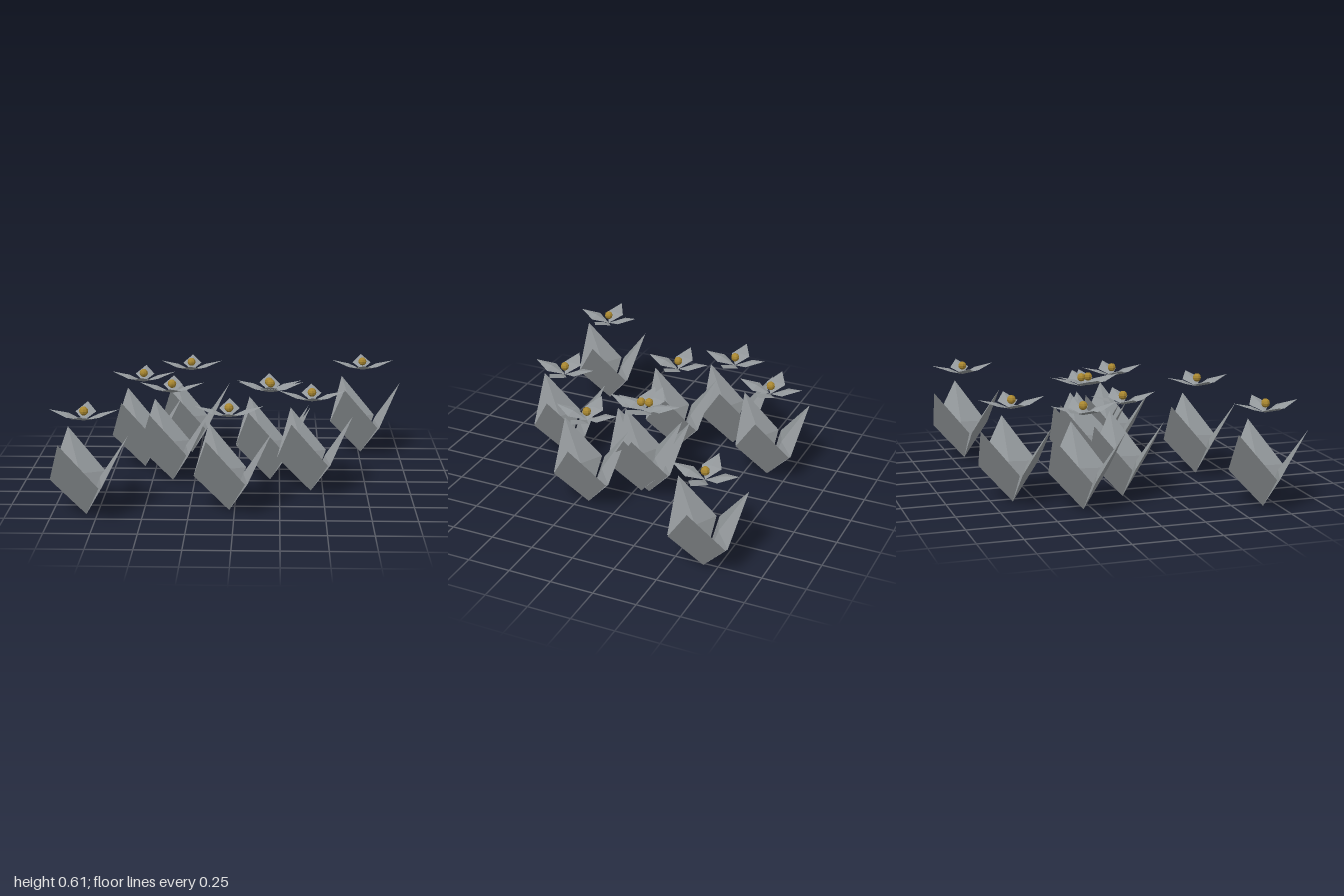
import * as THREE from 'three';

const grey = new THREE.MeshStandardMaterial({ color: 0x93989b, flatShading: true });
grey.name = 'stone grey';
const gold = new THREE.MeshStandardMaterial({ color: 0xa98730, flatShading: true });
gold.name = 'dull gold';

// Ground positions (x, z) of each plant
const PLANTS = [
  [-0.81, 0.665], [-0.03, 0.57], [0.43, 0.19], [0.185, -0.08], [0.195, -0.035],
  [-0.38, -0.01], [-0.57, -0.3], [-0.3, -0.63], [0.765, -0.67],
];

// Diamond blade rising outwards along +x: flat underside, faceted ridge on the upper side
function bladeGeometry(baseY, tipX, tipY, along, halfWidth, bulge) {
  const base = new THREE.Vector3(0, baseY, 0);
  const tip = new THREE.Vector3(tipX, tipY, 0);
  const middle = base.clone().lerp(tip, along);
  const left = middle.clone().setZ(-halfWidth);
  const right = middle.clone().setZ(halfWidth);
  const inward = new THREE.Vector3(baseY - tipY, tipX, 0).normalize();
  const ridge = middle.clone().addScaledVector(inward, bulge);
  const ring = [base, right, tip, left];
  const points = [];
  ring.forEach((p, i) => points.push(p, ring[(i + 1) % 4], ridge));
  points.push(base, left, tip, base, tip, right);
  const geometry = new THREE.BufferGeometry().setFromPoints(points);
  geometry.computeVertexNormals();
  return geometry;
}

// Equal blades spread around the vertical axis
function whorl(name, geometry, count) {
  const group = new THREE.Group();
  group.name = name + 's';
  for (let i = 0; i < count; i++) {
    const blade = new THREE.Mesh(geometry, grey);
    blade.name = name;
    blade.rotation.y = (i * Math.PI * 2) / count;
    group.add(blade);
  }
  return group;
}

export function createModel() {
  const model = new THREE.Group();
  model.name = 'flowerPatch';
  const leaf = bladeGeometry(0, 0.235, 0.445, 0.445, 0.165, 0.03);
  const petal = bladeGeometry(0.53, 0.19, 0.592, 0.47, 0.057, 0.012);
  const ball = new THREE.SphereGeometry(0.025, 8, 6);

  for (const [x, z] of PLANTS) {
    const plant = new THREE.Group();
    plant.name = 'plant';
    plant.position.set(x, 0, z);
    plant.add(whorl('leaf', leaf, 3), whorl('petal', petal, 4));
    // Pollen ball in the heart of the flower
    const heart = new THREE.Mesh(ball, gold);
    heart.name = 'flowerCentre';
    heart.position.y = 0.583;
    plant.add(heart);
    model.add(plant);
  }
  return model;
}
